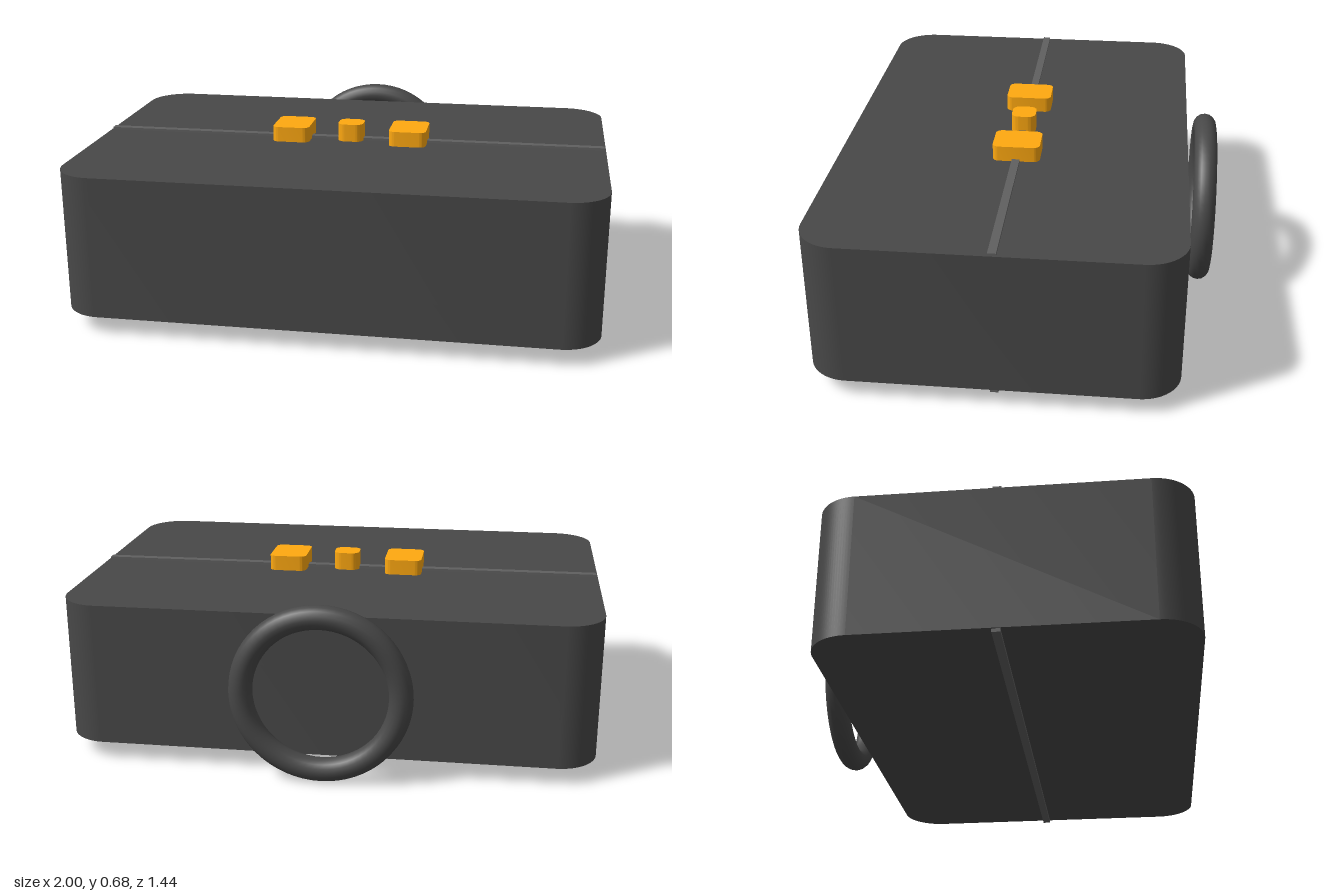
import * as THREE from 'three';
import { toCreasedNormals } from 'three/addons/utils/BufferGeometryUtils.js';

const shell = new THREE.MeshStandardMaterial({ color: 0x484848 });
const trim = new THREE.MeshStandardMaterial({ color: 0x606060 });
const brass = new THREE.MeshStandardMaterial({ color: 0xffa910 });

// Slab with a rounded outline seen from above, standing from y0 to y1
function roundedSlab(width, depth, radius, y0, y1, segments) {
  const x = width / 2, y = depth / 2, r = radius;
  const s = new THREE.Shape();
  s.moveTo(x, y - r);
  s.absarc(x - r, y - r, r, 0, Math.PI / 2);
  s.absarc(r - x, y - r, r, Math.PI / 2, Math.PI);
  s.absarc(r - x, r - y, r, Math.PI, Math.PI * 1.5);
  s.absarc(x - r, r - y, r, Math.PI * 1.5, Math.PI * 2);
  s.closePath();
  const g = new THREE.ExtrudeGeometry(s, { depth: y1 - y0, bevelEnabled: false, curveSegments: segments });
  g.rotateX(-Math.PI / 2);
  g.translate(0, y0, 0);
  return toCreasedNormals(g, 0.6);
}

export function createModel() {
  const model = new THREE.Group();
  model.name = 'suitcase';

  function add(name, geometry, material, x, y, z) {
    const mesh = new THREE.Mesh(geometry, material);
    mesh.name = name;
    mesh.position.set(x, y, z);
    model.add(mesh);
  }

  // Case lying flat
  add('caseBody', roundedSlab(2, 1.33, 0.15, 0.07, 0.613, 12), shell, 0, 0, 0.055);

  // Seam strips across the top and bottom
  const strip = new THREE.BoxGeometry(1.99, 0.03, 0.03);
  add('topSeam', strip, trim, 0, 0.607, 0.04);
  add('bottomSeam', strip, trim, 0, 0.072, 0.04);

  // Latches either side of the central lock
  const latch = roundedSlab(0.146, 0.18, 0.025, 0.6, 0.672, 6);
  add('leftLatch', latch, brass, 0.232, 0, 0.04);
  add('rightLatch', latch, brass, -0.232, 0, 0.04);
  add('lock', roundedSlab(0.1, 0.095, 0.03, 0.6, 0.682, 6), brass, 0, 0, 0.04);

  // Ring handle behind the case
  add('ringHandle', new THREE.TorusGeometry(0.292, 0.044, 16, 64), shell, 0, 0.338, -0.68);

  return model;
}
